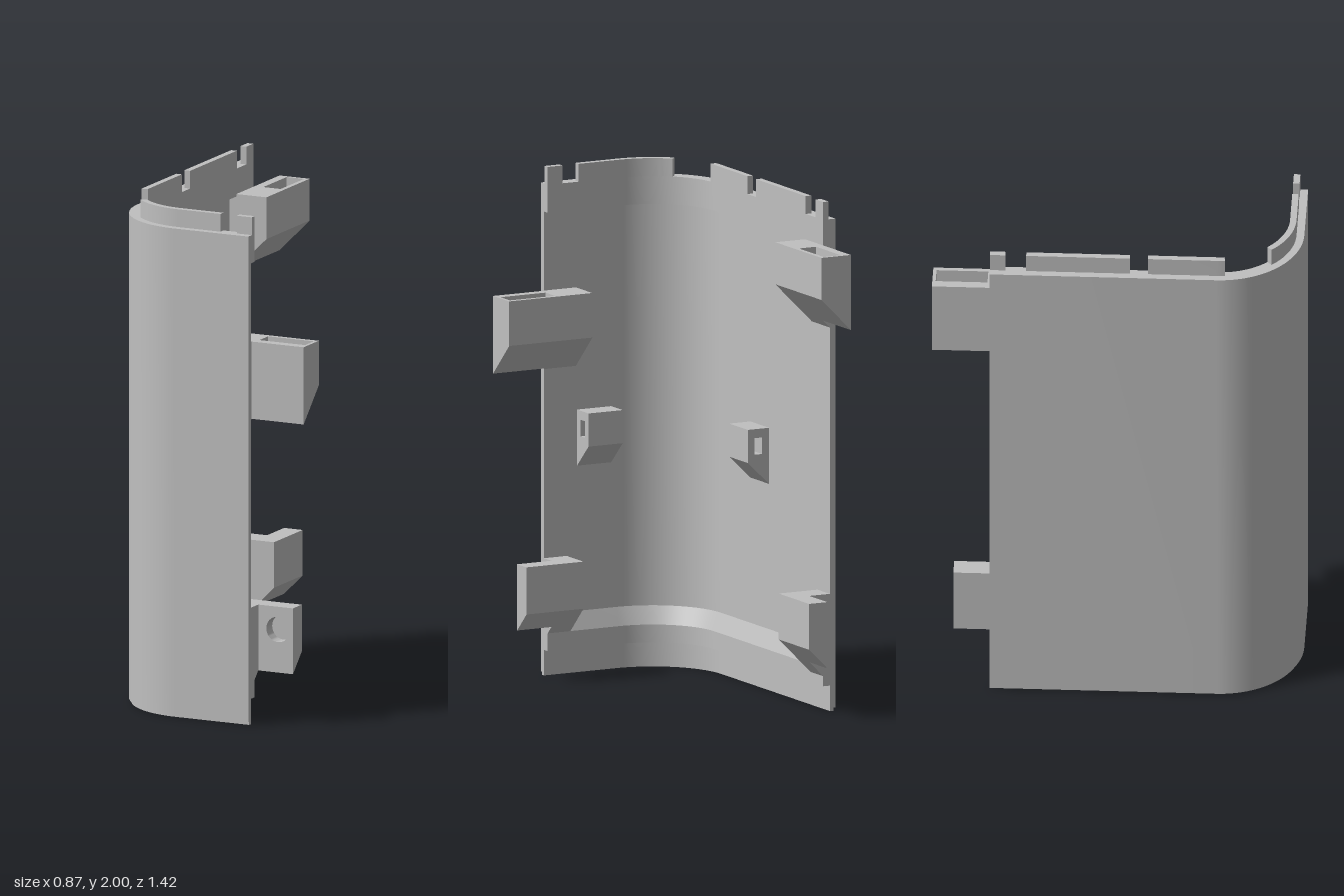
import * as THREE from 'three';
import { toCreasedNormals } from 'three/addons/utils/BufferGeometryUtils.js';

const R = 0.325, CX = -0.11, CZ = 0.385;

// Stations on the outer face of the panel: position and inward direction
const onBack = z => ({ x: CX - R, z, nx: 1, nz: 0 });
const onFront = x => ({ x, z: CZ + R, nx: 0, nz: -1 });
const onArc = (from, to, n = 20) => Array.from({ length: n + 1 }, (_, i) => {
  const a = from + (to - from) * i / n, c = Math.cos(a), s = Math.sin(a);
  return { x: CX + R * c, z: CZ + R * s, nx: -c, nz: -s };
});

// The two straight flanks and their free ends; s runs outwards past the end
const FRONT = { at: onFront, end: 0.205, dir: 1 };
const BACK = { at: onBack, end: -0.49, dir: -1 };

// Sweep a counterclockwise (depth, height) section along stations, with optional holes
function sweep(stations, contour, holes = []) {
  const pos = [];
  const put = (st, [d, y]) => pos.push(st.x + st.nx * d, y, st.z + st.nz * d);
  for (const loop of [contour, ...holes]) {
    loop.forEach((p, j) => {
      const q = loop[(j + 1) % loop.length];
      for (let i = 0; i + 1 < stations.length; i++) {
        const a = stations[i], b = stations[i + 1];
        put(a, p); put(a, q); put(b, q);
        put(a, p); put(b, q); put(b, p);
      }
    });
  }
  const all = [contour, ...holes].flat();
  const vec = l => l.map(([d, y]) => new THREE.Vector2(d, y));
  for (const [i, j, k] of THREE.ShapeUtils.triangulateShape(vec(contour), holes.map(vec))) {
    const first = stations[0], last = stations[stations.length - 1];
    put(last, all[i]); put(last, all[j]); put(last, all[k]);
    put(first, all[k]); put(first, all[j]); put(first, all[i]);
  }
  const g = new THREE.BufferGeometry();
  g.setAttribute('position', new THREE.Float32BufferAttribute(pos, 3));
  return toCreasedNormals(g, 0.4);
}

const rect = (d0, d1, y0, y1) => [[d0, y0], [d1, y0], [d1, y1], [d0, y1]];

// Straight prism along one flank
function prism(side, s0, s1, contour, holes) {
  const ends = [s0, s1].map(s => side.end + side.dir * s).sort((a, b) => a - b);
  return sweep(ends.map(side.at), contour, holes);
}

export function createModel() {
  const model = new THREE.Group();
  const grey = new THREE.MeshStandardMaterial({ color: 0xc0c0c0 });
  grey.name = 'grey plastic';
  const add = (name, geometry, parent = model) => {
    const m = new THREE.Mesh(geometry, grey);
    m.name = name;
    parent.add(m);
  };
  const group = name => {
    const g = new THREE.Group();
    g.name = name;
    model.add(g);
    return g;
  };

  // Curved wall with thicker bands near the top and bottom
  add('panel', sweep(
    [onBack(-0.49), ...onArc(Math.PI, Math.PI / 2, 28), onFront(0.205)],
    [[0.008, 0], [0.025, 0], [0.025, 0.1], [0.055, 0.1], [0.055, 0.17], [0.025, 0.24],
      [0.025, 1.82], [0.055, 1.82], [0.055, 1.93], [0, 1.93], [0, 0.012], [0.008, 0.012]]));

  // Lip tabs along the top edge
  const lip = group('topLip');
  const tabs = [
    [onBack(-0.49), onBack(-0.43)],
    [onBack(-0.35), onBack(0.05)],
    [onBack(0.12), onBack(0.42 - 0.035)],
    [...onArc(Math.PI * 0.75, Math.PI / 2), onFront(0.07)],
    [onFront(0.14), onFront(0.205)],
  ];
  tabs[2].push(...onArc(Math.PI, Math.PI - 0.11, 3).slice(1));
  tabs.forEach(t => add('lipTab', sweep(t, rect(0.03, 0.055, 1.925, 2)), lip));

  // Upper brackets: block with a 45 degree underside and a slot in the top
  function slottedBracket(name, side, s0, s1, near, far, top, brk, slot0, slot1) {
    const g = group(name), floor = top - 0.12;
    const body = (d, y) => [[d, brk - (far - d)], [far, brk], [far, y], [d, y]];
    add('bracketRoot', prism(side, s0, 0, body(0.02, top)), g);
    add('bracketBody', prism(side, 0, s1, body(near, floor)), g);
    add('slotEnd', prism(side, 0, slot0, rect(near, far, floor, top)), g);
    add('slotEnd', prism(side, slot1, s1, rect(near, far, floor, top)), g);
    add('slotWall', prism(side, slot0, slot1, rect(near, near + 0.037, floor, top)), g);
    add('slotWall', prism(side, slot0, slot1, rect(far - 0.018, far, floor, top)), g);
  }
  slottedBracket('frontSlottedBracket', FRONT, -0.14, 0.225, 0.028, 0.158, 1.51, 1.335, 0.015, 0.212);
  slottedBracket('backSlottedBracket', BACK, -0.145, 0.225, 0.055, 0.185, 1.83, 1.665, 0.012, 0.212);

  // Small clips with a square hole
  function clip(name, side, s0, s1) {
    add(name, prism(side, s0, s1,
      [[0.02, 0.805], [0.118, 0.9], [0.118, 1.03], [0.02, 1.03]],
      [rect(0.055, 0.088, 0.93, 0.995).reverse()]));
  }
  clip('frontClip', FRONT, -0.295, -0.145);
  clip('backClip', BACK, -0.64, -0.49);

  // Lower brackets: recessed plate with a round blind hole facing outwards
  function screwBracket(name, side, s0, s1, far, brk) {
    const g = group(name), bottom = 0.2, top = 0.46, depth = 0.05;
    const face = far - (brk - bottom);
    const section = (d, low) => [[d, low], [far, brk], [far, top], [d, top]];
    const root = section(0.055, brk - (far - 0.055));
    add('bracketRoot', prism(side, s0, 0, [[0.02, root[0][1]], ...root.slice(0, 3), [0.02, top]]), g);
    add('bracketBack', prism(side, 0, s1, section(face + depth, bottom + depth)), g);
    const a = side.end, b = side.end + side.dir * s1;
    const plate = new THREE.Shape([[a, bottom], [b, bottom], [b, top], [a, top]]
      .map(p => new THREE.Vector2(...p)));
    plate.holes.push(new THREE.Path().absarc(side.end + side.dir * 0.085, 0.37, 0.05, 0, Math.PI * 2, true));
    const geo = new THREE.ExtrudeGeometry(plate, { depth, bevelEnabled: false, curveSegments: 24 });
    // Slope the underside of the plate
    const p = geo.attributes.position;
    for (let i = 0; i < p.count; i++) {
      if (p.getY(i) < bottom + 0.001) p.setY(i, bottom + depth - p.getZ(i));
    }
    if (side === FRONT) geo.translate(0, 0, CZ + R - face - depth);
    else geo.rotateY(-Math.PI / 2).translate(CX - R + face + depth, 0, 0);
    add('holePlate', toCreasedNormals(geo, 0.5), g);
  }
  screwBracket('frontScrewBracket', FRONT, -0.1, 0.15, 0.16, 0.275);
  screwBracket('backScrewBracket', BACK, -0.1, 0.145, 0.195, 0.28);

  return model;
}
